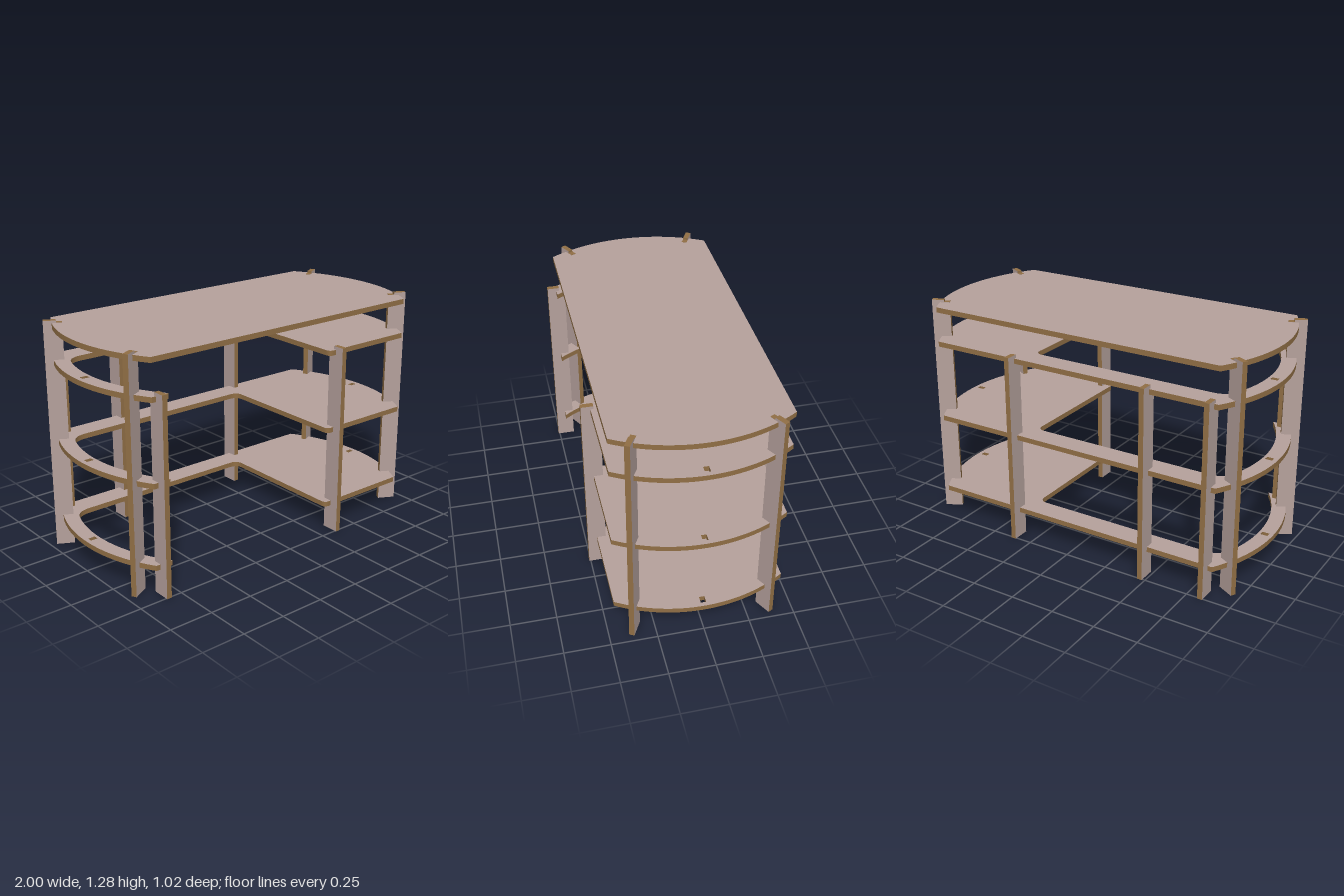
import * as THREE from 'three';

const T = 0.029;            // board thickness
const D = 0.457;            // half depth
const R = 0.861, CX = 0.139; // rounded ends
const A = Math.asin(D / R);

export function createModel() {
  const group = new THREE.Group();
  const face = new THREE.MeshStandardMaterial({ color: 0xb5a19c });
  face.name = 'laminate face';
  const edge = new THREE.MeshStandardMaterial({ color: 0x916f45 });
  edge.name = 'plywood edge';

  // Cut a board from an outline: laminate on the faces, plywood on the edges
  function board(name, shape) {
    const geo = new THREE.ExtrudeGeometry(shape, { depth: T, bevelEnabled: false, curveSegments: 20 });
    geo.translate(0, 0, -T / 2);
    const mesh = new THREE.Mesh(geo, [face, edge]);
    mesh.name = name;
    group.add(mesh);
    return mesh;
  }

  // Both bowed ends, with the straight back edge between them
  function bowedEnds(shape) {
    shape.lineTo(CX + R * Math.cos(A), -D);
    shape.absarc(CX, 0, R, -A, A, false);
    shape.absarc(-CX, 0, R, Math.PI - A, Math.PI + A, false);
  }

  // Desktop
  const topShape = new THREE.Shape();
  topShape.moveTo(0, -D);
  bowedEnds(topShape);
  topShape.closePath();
  const desktop = board('desktop', topShape);
  desktop.rotation.x = -Math.PI / 2;
  desktop.position.y = 1.2565;

  // Shelf: full depth on the left, narrow rail along the back and right end
  function shelfShape() {
    const r = 0.78, b = Math.asin(D / r), c = Math.asin(0.26 / r);
    const s = new THREE.Shape();
    s.moveTo(0.33, -D);
    bowedEnds(s);
    s.absarc(-CX, 0, r, Math.PI + b, Math.PI - c, true);
    s.quadraticCurveTo(-0.85, 0.33, -0.77, 0.33);
    s.lineTo(0.25, 0.33);
    s.quadraticCurveTo(0.3, 0.33, 0.3, 0.28);
    s.lineTo(0.3, -D + 0.03);
    s.quadraticCurveTo(0.3, -D, 0.33, -D);
    for (const x of [-0.955, 0.955]) {
      const slot = new THREE.Path();
      slot.moveTo(x - 0.02, -T / 2);
      slot.lineTo(x - 0.02, T / 2);
      slot.lineTo(x + 0.02, T / 2);
      slot.lineTo(x + 0.02, -T / 2);
      slot.closePath();
      s.holes.push(slot);
    }
    return s;
  }
  [['lowerShelf', 0.162], ['middleShelf', 0.611], ['upperShelf', 1.058]].forEach(([name, y]) => {
    const shelf = board(name, shelfShape());
    shelf.rotation.x = -Math.PI / 2;
    shelf.position.y = y;
  });

  // Upright board with a stepped top; its outer side points along (dx, dz)
  function post(name, x, z, dx, dz, height, stepAt, ledge) {
    const s = new THREE.Shape([
      [-0.05, 0], [0.05, 0], [0.05, height], [stepAt, height], [stepAt, ledge], [-0.05, ledge],
    ].map(([u, v]) => new THREE.Vector2(u, v)));
    const mesh = board(name, s);
    mesh.position.set(x, 0, z);
    mesh.rotation.y = Math.atan2(-dz, dx);
  }

  // Straight posts along the front and back
  for (const x of [-0.83, 0.36]) post('frontPost', x, 0.458, 0, 1, 1.09, -0.017, 1.06);
  for (const x of [-0.83, -0.47, 0.36]) post('backPost', x, -0.458, 0, -1, 1.09, -0.017, 1.06);

  // Angled posts at the four corners
  for (const sx of [-1, 1]) {
    for (const sz of [-1, 1]) {
      post('cornerPost', sx * 0.916, sz * 0.358, sx * 0.88, sz * 0.475, 1.285, -0.018, 1.273);
    }
  }
  return group;
}
